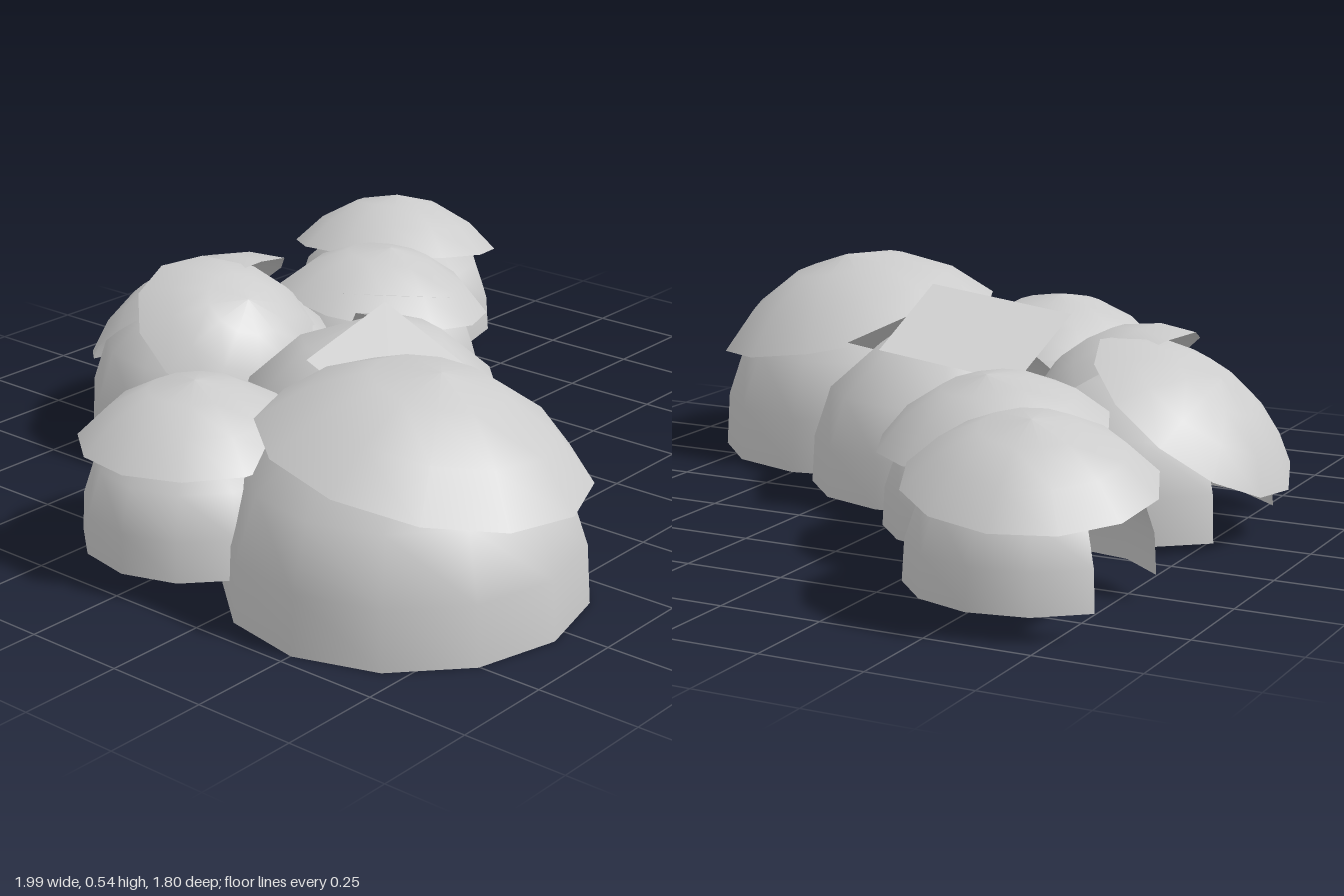
import * as THREE from 'three';

const material = new THREE.MeshStandardMaterial({ color: 0xcccccc, side: THREE.DoubleSide });

// Profiles as [radius, height], in units of the part's radius
const DOME = [[1, 0], [0.98, 0.34], [0.86, 0.7], [0.5, 1.02], [0, 1.17]];
const CAP = [[1, 0], [0.74, 0.25], [0.4, 0.43], [0, 0.5]];
const DOOR_HALF = Math.PI / 5;

function add(group, name, geometry) {
  const mesh = new THREE.Mesh(geometry, material);
  mesh.name = name;
  group.add(mesh);
  return mesh;
}

function lathe(profile, r, segments, start, length) {
  const points = profile.map(([x, y]) => new THREE.Vector2(x * r, y * r));
  return new THREE.LatheGeometry(points, segments, start, length);
}

// Open shell with a doorway sector missing at the back
function dome(group, name, [x, y, z], r) {
  const geometry = lathe(DOME, r, 10, Math.PI + DOOR_HALF, 2 * (Math.PI - DOOR_HALF));
  add(group, name, geometry).position.set(x, y, z);
}

// Shallow roof, placed by the centre of its rim and tilted
function cap(group, name, [x, y, z], r, tiltX, tiltZ) {
  const mesh = add(group, name, lathe(CAP, r, 12, 0.13, Math.PI * 2));
  mesh.position.set(x, y, z);
  mesh.rotation.set(tiltX, 0, tiltZ);
  return mesh;
}

// Thin flat sheet through four corners
function panel(group, name, corners) {
  const geometry = new THREE.BufferGeometry();
  geometry.setAttribute('position', new THREE.Float32BufferAttribute(corners.flat(), 3));
  geometry.setIndex([0, 1, 2, 0, 2, 3]);
  geometry.computeVertexNormals();
  add(group, name, geometry);
}

export function createModel() {
  const group = new THREE.Group();
  group.name = 'domeCluster';

  // Domes
  dome(group, 'largeFrontDome', [-0.55, 0, 0.475], 0.42);
  dome(group, 'centralDome', [-0.14, 0.03, 0.03], 0.355);
  dome(group, 'rearDome', [-0.115, 0.02, -0.51], 0.345);
  dome(group, 'middleLeftDome', [0.3, 0.06, -0.33], 0.275);
  dome(group, 'farLeftDome', [0.69, 0.06, -0.6], 0.28);
  dome(group, 'rightDome', [-0.72, 0.06, 0], 0.28);

  // Roofs
  cap(group, 'largeFrontRoof', [-0.54, 0.345, 0.52], 0.385, 0.17, -0.09);
  cap(group, 'middleLeftRoof', [0.33, 0.29, -0.33], 0.28, 0.08, -0.12);
  cap(group, 'farLeftRoof', [0.715, 0.29, -0.61], 0.285, -0.08, -0.16);
  cap(group, 'rightRoof', [-0.72, 0.3, -0.01], 0.275, 0, 0);

  // Rear dome: one roof slid backwards over the doorway, one tipped forwards
  cap(group, 'rearRoofBack', [-0.07, 0.29, -0.67], 0.29, -0.63, 0).scale.y = 0.8;
  cap(group, 'rearRoofFront', [-0.19, 0.32, -0.4], 0.255, 0.6, 0.08);

  // Loose roof sheets on the central dome
  panel(group, 'largeRoofPanel',
    [[-0.2, 0.53, 0.11], [0.16, 0.42, 0.07], [0.12, 0.365, -0.285], [-0.24, 0.475, -0.265]]);
  panel(group, 'smallRoofPanel',
    [[-0.385, 0.29, 0.3], [-0.12, 0.37, 0.32], [-0.14, 0.49, 0.07], [-0.405, 0.41, 0.05]]);

  return group;
}
